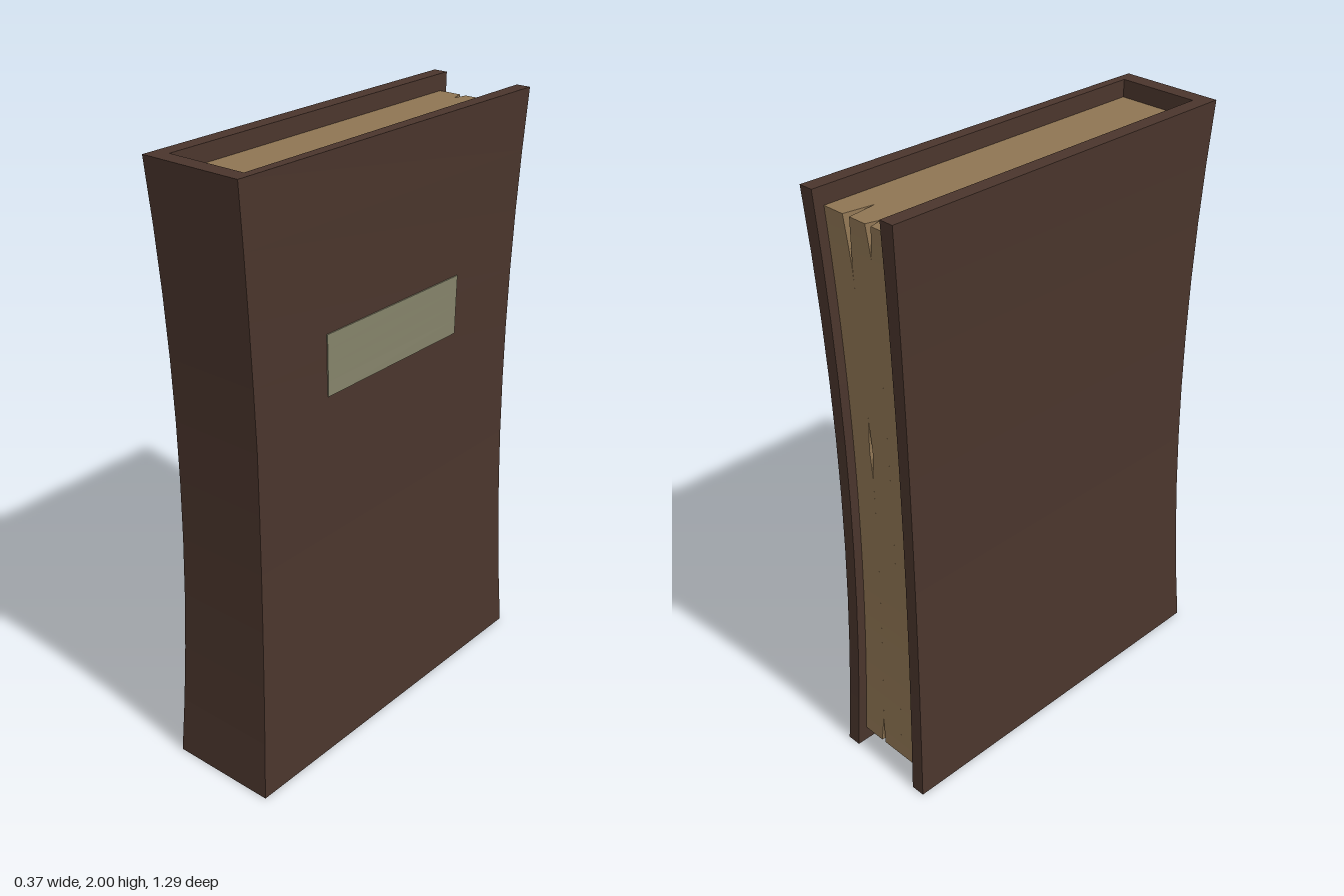
import * as THREE from 'three';

const coverMat = new THREE.MeshStandardMaterial({ color: 0x4a352c });
const pageMat = new THREE.MeshStandardMaterial({ color: 0x8f7553 });
const labelMat = new THREE.MeshStandardMaterial({ color: 0x85836a });

// Waist: the book narrows towards mid height; the upper spine corner at +x leans in
function pinch(v, dent) {
  const t = v.y - 1, k = 1 - t * t;
  if (dent) {
    v.x -= 0.02 * Math.max(0, (v.y - 1.2) / 0.8) * THREE.MathUtils.clamp((v.z + 0.645) / 1.29, 0, 1);
  }
  v.x *= 1 - 0.125 * k;
  v.z *= 1 - (v.z > 0 ? 0.064 : 0.05) * k;
}

function deform(geo, rule) {
  const pos = geo.attributes.position, v = new THREE.Vector3();
  for (let i = 0; i < pos.count; i++) {
    v.fromBufferAttribute(pos, i);
    rule(v);
    pos.setXYZ(i, v.x, v.y, v.z);
  }
  geo.computeVertexNormals();
  return geo;
}

// Plan outline given as [x, z] points, raised from y0 to y1
function raise(points, y0, y1, steps) {
  const shape = new THREE.Shape(points.map(([x, z]) => new THREE.Vector2(x, -z)));
  return new THREE.ExtrudeGeometry(shape, { depth: y1 - y0, steps, bevelEnabled: false })
    .rotateX(-Math.PI / 2).translate(0, y0, 0);
}

function part(group, name, geo, mat) {
  const mesh = new THREE.Mesh(geo, mat);
  mesh.name = name;
  group.add(mesh);
}

// Cracks in the page edge: strength is 0..1 along the height
const fade = (y, centre, reach) => Math.max(0, 1 - Math.abs(y - centre) / reach);
const cracks = [
  { x: -0.045, width: 0.012, depth: 0.045, strength: y => fade(y, 1.945, 0.1) },
  {
    x: 0.045, width: 0.014, depth: 0.1,
    strength: y => Math.max(fade(y, 1.945, 0.16), 0.6 * fade(y, 1.2, 0.1), 0.6 * fade(y, 0.055, 0.1)),
  },
];

export function createModel() {
  const book = new THREE.Group();
  book.name = 'book';

  // Cover: two boards joined by the spine
  const X = 0.186, Z = 0.645, xi = 0.137, zi = 0.592;
  const cover = raise([
    [-X, Z], [X, Z], [X, -Z], [xi, -Z], [xi, zi], [-xi, zi], [-xi, -Z], [-X, -Z],
  ], 0, 2, 10);
  part(book, 'cover', deform(cover, v => pinch(v, v.x > 0.15)), coverMat);

  // Page block, open at the back, with cracks that come and go
  const back = -0.613, outline = [[-xi, zi], [xi, zi], [xi, back]];
  for (const c of [...cracks].reverse()) {
    outline.push([c.x + c.width, back], [c.x, back + c.depth], [c.x - c.width, back]);
  }
  outline.push([-xi, back]);
  const pages = deform(raise(outline, 0.055, 1.945, 38), v => {
    for (const c of cracks) {
      if (Math.abs(v.x - c.x) > 0.02) continue;
      const s = Math.max(0.001, c.strength(v.y));
      v.x = c.x + (v.x - c.x) * s;
      v.z = back + (v.z - back) * s;
    }
    pinch(v, false);
  });
  part(book, 'pages', pages, pageMat);

  // Blank title plate on the +x board
  const label = new THREE.BoxGeometry(0.006, 0.197, 0.65, 1, 4, 1).toNonIndexed();
  label.translate(X + 0.001, 1.367, -0.002);
  part(book, 'titlePlate', deform(label, v => pinch(v, true)), labelMat);

  return book;
}
